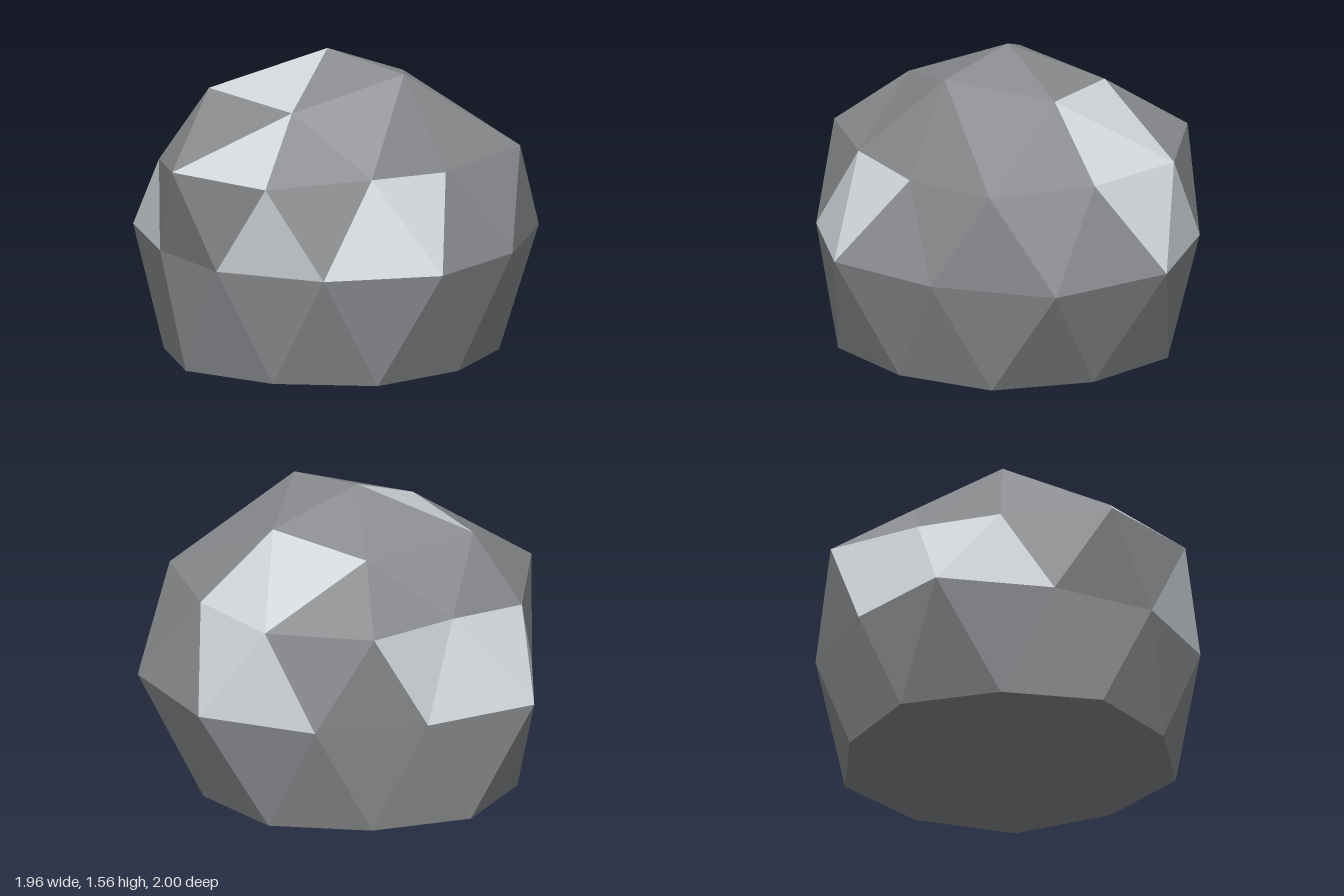
import * as THREE from 'three';

const CX = 0.01, CZ = 0.07; // vertical axis of the boulder

// Point at an angle (degrees), radius and height around the axis
function polar(deg, r, y) {
  const a = THREE.MathUtils.degToRad(deg);
  return [CX + r * Math.cos(a), y, CZ + r * Math.sin(a)];
}

// Facets of pale stone, listed by kind and position around the axis
const PALE = {
  apex: [1],           // fan around the apex
  crownSide: [1],      // beside a crown point
  crownGap: [3],       // hanging between two crown points
  crownEnd: [3],       // beside the next crown point
  upperDown: [0, 4, 5, 7],    // shoulder to waist, pointing down
  upperUp: [0, 1, 3, 4, 6],   // shoulder to waist, pointing up
};

export function createModel() {
  const stone = new THREE.MeshStandardMaterial({ color: 0x898b8e });
  stone.name = 'stone grey';
  const paleStone = new THREE.MeshStandardMaterial({ color: 0xd1d6da });
  paleStone.name = 'pale grey';

  // Rings of [radius, height], each running from +x towards +z
  const apex = polar(0, 0, 1.56);
  const crown = [[0.485, 1.49], [0.547, 1.34], [0.60, 1.35], [0.50, 1.335], [0.465, 1.385]]
    .map(([r, y], i) => polar(72 * i, r, y));
  const shoulder = [
    [0.75, 1.02], [0.775, 1.045], [0.957, 1.03], [0.957, 1.04], [0.852, 0.98],
    [0.73, 1.04], [0.93, 1.065], [0.915, 1.05], [0.863, 1.05], [0.974, 1.06],
  ].map(([r, y], i) => polar(36 * i, r, y));
  const waist = [1.02, 0.974, 0.93, 0.885, 1.04, 0.905, 0.974, 1.07, 1.116, 0.99]
    .map((r, i) => polar(18 + 36 * i, r, 0.57));
  const foot = [0.83, 0.88, 0.84, 0.874, 0.828, 0.87, 0.83, 0.88, 0.848, 0.867]
    .map((r, i) => polar(36 * i, r, 0));
  const baseCentre = polar(0, 0, 0);

  // Each facet goes to the grey body or to the pale patches
  const body = [], patches = [];
  const tri = (kind, i, a, b, c) =>
    (PALE[kind]?.includes(i) ? patches : body).push(...a, ...b, ...c);

  // Cap: apex fan, then facets down to the shoulder
  for (let k = 0; k < 5; k++) {
    const t0 = crown[k], t1 = crown[(k + 1) % 5];
    const a = shoulder[2 * k], m = shoulder[2 * k + 1], b = shoulder[(2 * k + 2) % 10];
    tri('apex', k, apex, t1, t0);
    tri('crownSide', k, t0, m, a);
    tri('crownGap', k, t0, t1, m);
    tri('crownEnd', k, t1, b, m);
  }

  // Zigzag side bands and flat underside
  for (let i = 0; i < 10; i++) {
    const j = (i + 1) % 10;
    tri('upperDown', i, shoulder[i], shoulder[j], waist[i]);
    tri('upperUp', i, shoulder[j], waist[j], waist[i]);
    tri('lower', i, waist[i], foot[j], foot[i]);
    tri('lower', i, waist[i], waist[j], foot[j]);
    tri('base', i, baseCentre, foot[i], foot[j]);
  }

  const group = new THREE.Group();
  group.name = 'rock';
  const addFacets = (name, positions, material) => {
    const geometry = new THREE.BufferGeometry();
    geometry.setAttribute('position', new THREE.Float32BufferAttribute(positions, 3));
    geometry.computeVertexNormals(); // unshared corners keep every facet flat
    const mesh = new THREE.Mesh(geometry, material);
    mesh.name = name;
    group.add(mesh);
  };
  addFacets('boulder', body, stone);
  addFacets('palePatches', patches, paleStone);
  return group;
}
